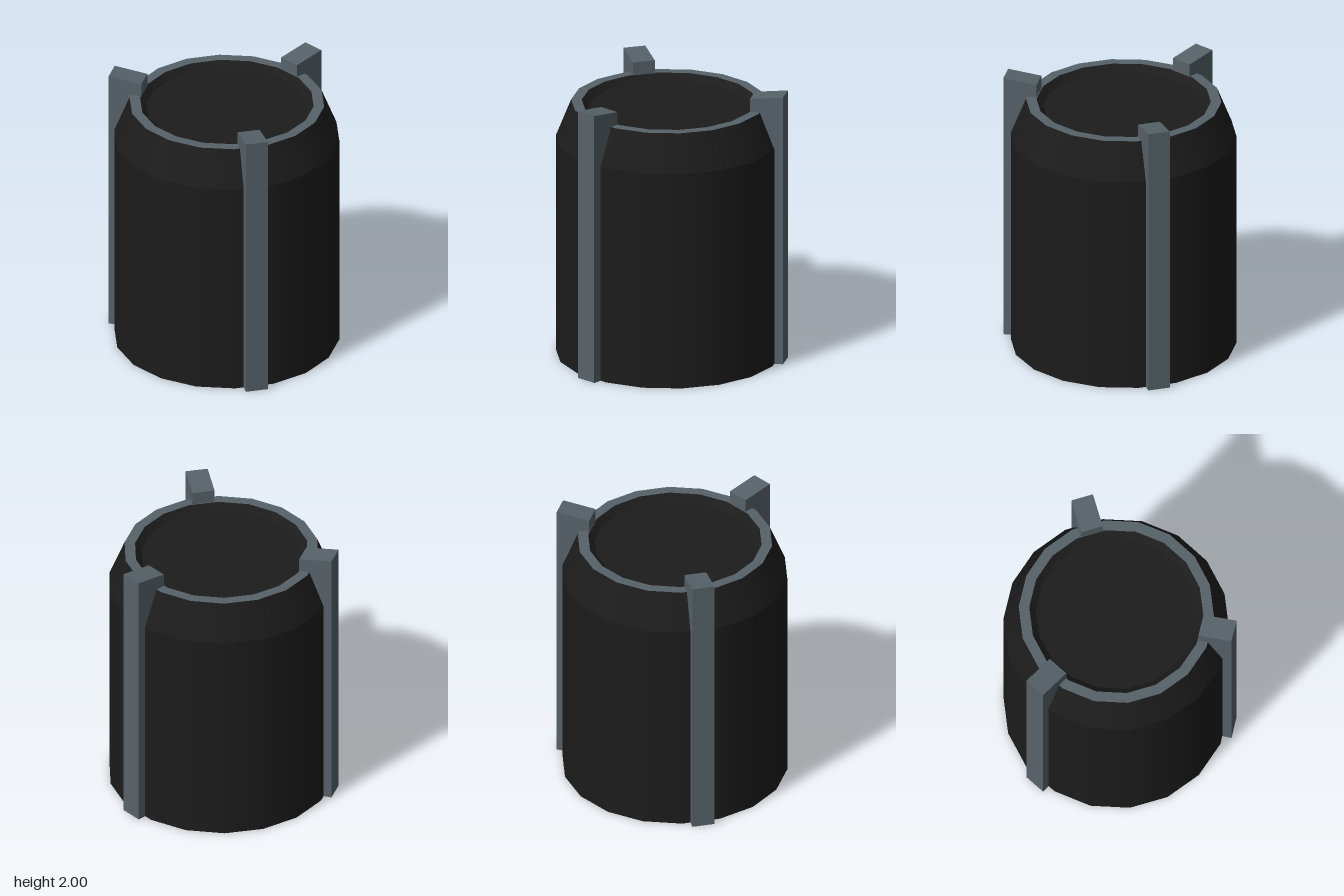
import * as THREE from 'three';

const SIDES = 18;
const CENTRE_Z = 0.03;

export function createModel() {
  const model = new THREE.Group();
  const dark = new THREE.MeshStandardMaterial({ color: 0x1c1c1c, side: THREE.DoubleSide });
  const steel = new THREE.MeshStandardMaterial({ color: 0x566269 });

  // One band of the round body; separate bands keep the edges between them sharp
  const band = (name, material, r0, y0, r1, y1) => {
    const profile = [new THREE.Vector2(r0, y0), new THREE.Vector2(r1, y1)];
    const mesh = new THREE.Mesh(new THREE.LatheGeometry(profile, SIDES, Math.PI / SIDES), material);
    mesh.name = name;
    mesh.position.z = CENTRE_Z;
    model.add(mesh);
  };

  // Thin shell, open at the bottom, with a recessed lid
  band('shellWall', dark, 0.8, 0, 0.8, 1.605);
  band('shoulder', dark, 0.8, 1.605, 0.692, 1.875);
  band('rim', steel, 0.692, 1.875, 0.617, 1.875);
  band('rimInnerWall', dark, 0.617, 1.875, 0.57, 1.83);
  band('lid', dark, 0.57, 1.83, 0, 1.83);

  // Three upright ribs with tops sloping down toward the middle
  const profile = new THREE.Shape([[0.61, 0], [0.85, 0], [0.85, 2], [0.61, 1.97]]
    .map(([r, y]) => new THREE.Vector2(r, y)));
  const ribGeometry = new THREE.ExtrudeGeometry(profile, { depth: 0.16, bevelEnabled: false });
  ribGeometry.translate(0, 0, -0.08);
  ['backRib', 'frontRightRib', 'frontLeftRib'].forEach((name, i) => {
    const rib = new THREE.Mesh(ribGeometry, steel);
    rib.name = name;
    rib.position.set(0.005, 0, CENTRE_Z);
    rib.rotation.y = Math.PI / 2 + i * Math.PI * 2 / 3;
    model.add(rib);
  });

  return model;
}
